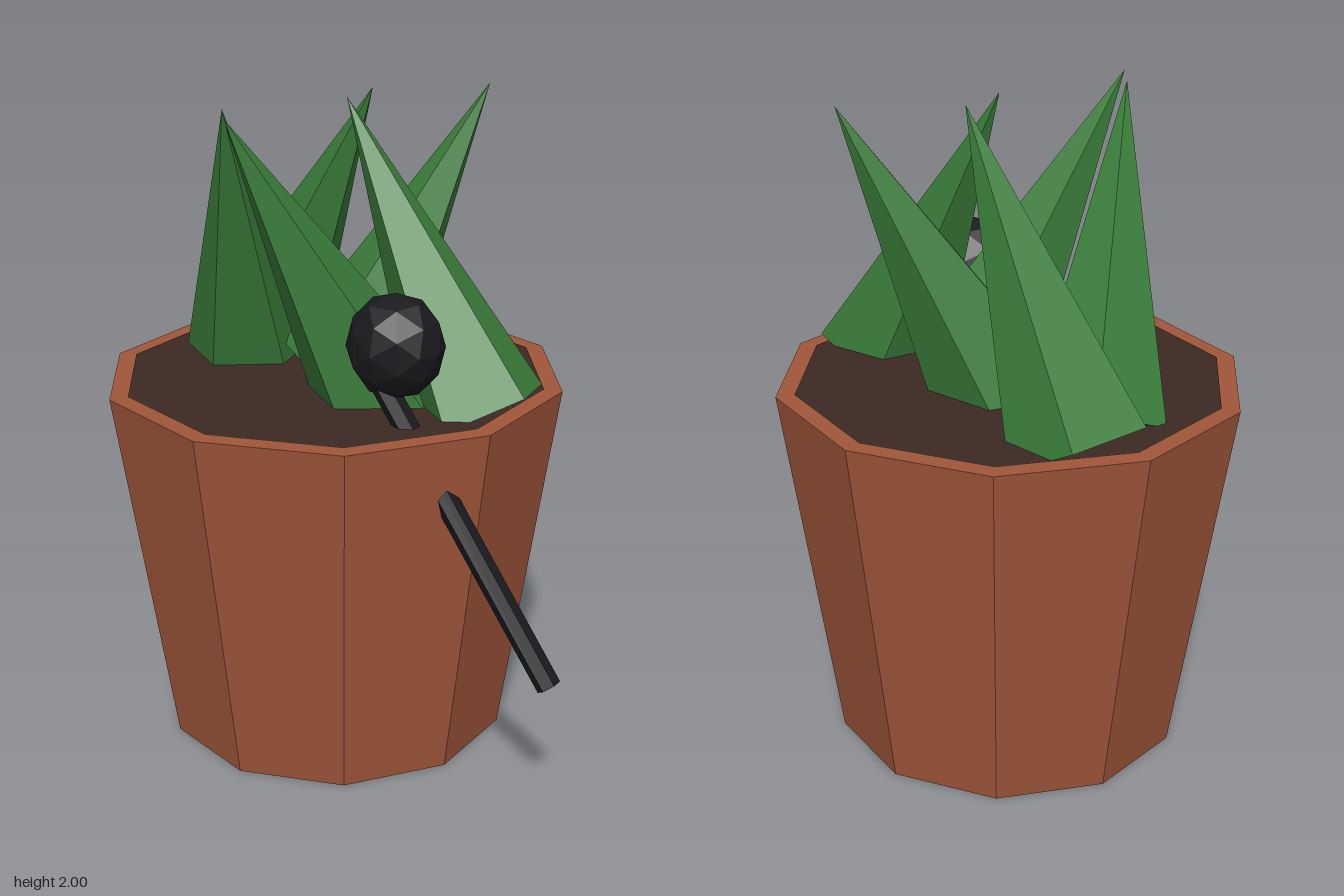
import * as THREE from 'three';

const POT_X = -0.14;
const RIM_Y = 1.14;
const UP = new THREE.Vector3(0, 1, 0);

const flat = (color) => new THREE.MeshStandardMaterial({ color, flatShading: true });

function addPart(parent, name, geometry, material, x = 0, y = 0, z = 0) {
  const mesh = new THREE.Mesh(geometry, material);
  mesh.name = name;
  mesh.position.set(x, y, z);
  parent.add(mesh);
  return mesh;
}

export function createModel() {
  const group = new THREE.Group();
  group.name = 'pottedPlant';
  const clay = flat(0xa0563a);
  const earth = flat(0x3b2a22);
  const green = flat(0x3a7d3a);
  const black = flat(0x1a1a1e);

  // Ten-sided tapered pot with a soil disc lying on its top
  addPart(group, 'pot', new THREE.CylinderGeometry(0.708, 0.534, RIM_Y, 10), clay, POT_X, RIM_Y / 2, 0);
  const soil = new THREE.CircleGeometry(0.652, 10, Math.PI / 2).rotateX(-Math.PI / 2);
  addPart(group, 'soil', soil, earth, POT_X, RIM_Y + 0.002, 0);

  // Five-sided leaning leaves: tip (x, z), then the direction in which the base lies, in degrees
  const leaves = new THREE.Group();
  leaves.name = 'leaves';
  group.add(leaves);
  const leafGeometry = new THREE.ConeGeometry(0.21, 1, 5).translate(0, -0.5, 0);
  const lean = THREE.MathUtils.degToRad(28);
  [
    [-0.09, 0.0, 0],
    [-0.11, -0.17, 187],
    [0.15, -0.42, 131.5],
    [-0.28, 0.35, 241],
    [-0.19, 0.46, -57],
  ].forEach(([x, z, degrees]) => {
    const a = THREE.MathUtils.degToRad(degrees);
    const axis = new THREE.Vector3(-Math.sin(lean) * Math.cos(a), Math.cos(lean), -Math.sin(lean) * Math.sin(a));
    addPart(leaves, 'leaf', leafGeometry, green, x, 1.995, z).quaternion.setFromUnitVectors(UP, axis);
  });

  // Slanted rod through the pot, with a faceted ball on its upper end
  const top = new THREE.Vector3(0.19, 1.29, 0.285);
  const bottom = new THREE.Vector3(0.778, 0.447, 0.285);
  const along = top.clone().sub(bottom);
  const middle = top.clone().add(bottom).multiplyScalar(0.5);
  const rod = addPart(group, 'rod', new THREE.CylinderGeometry(0.036, 0.036, along.length(), 6), black, ...middle);
  rod.quaternion.setFromUnitVectors(UP, along.normalize());
  const ball = addPart(group, 'ball', new THREE.IcosahedronGeometry(1, 1), black, 0.228, 1.355, 0.235);
  ball.scale.set(0.145, 0.156, 0.137);

  return group;
}
